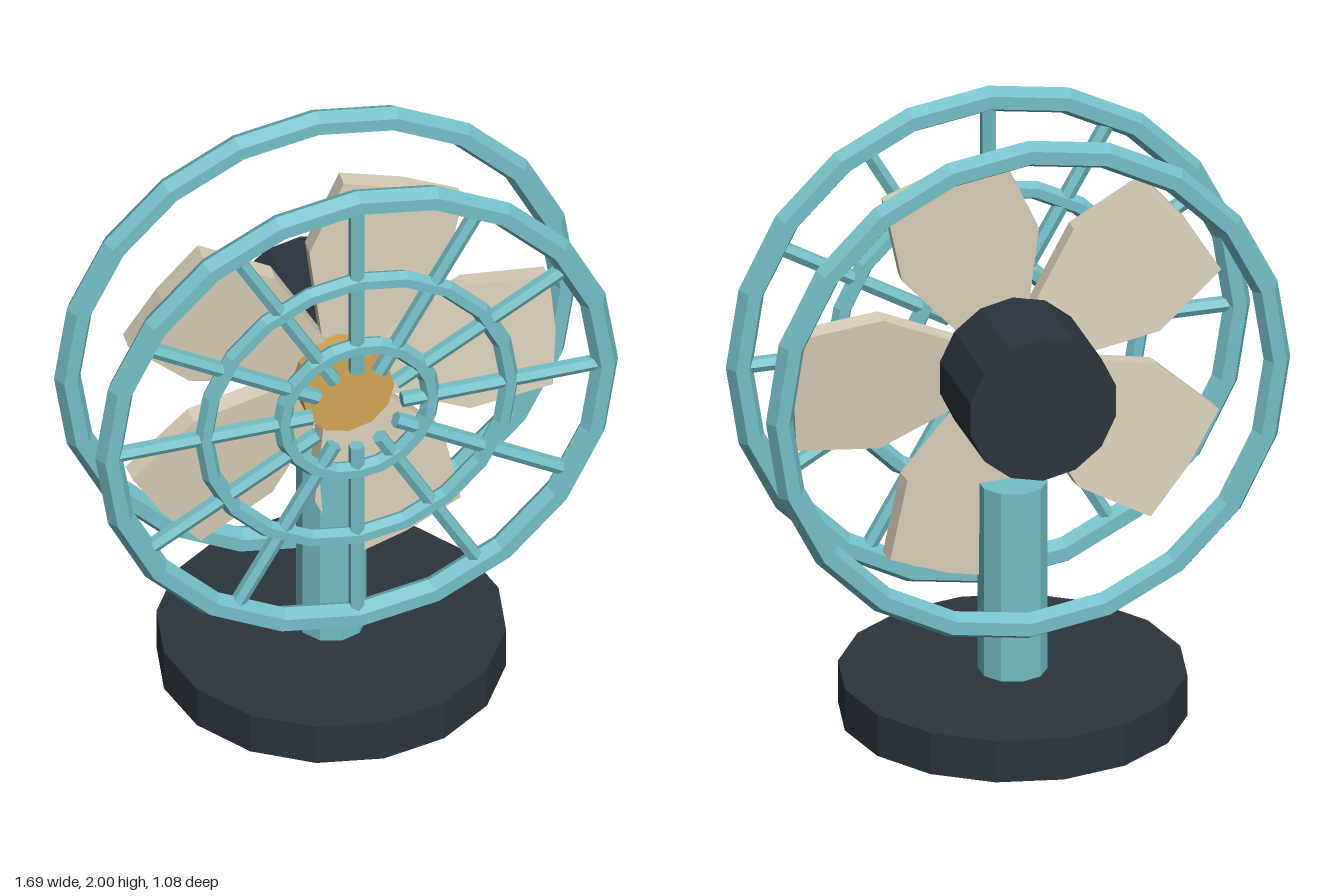
import * as THREE from 'three';

const paint = (color) => new THREE.MeshStandardMaterial({ color, flatShading: true });

export function createModel() {
  const model = new THREE.Group();
  model.name = 'deskFan';
  const teal = paint(0x73bfc6), dark = paint(0x2b343d);
  const cream = paint(0xd9ceb8), gold = paint(0xd2a654);

  const add = (parent, name, geometry, material, x = 0, y = 0, z = 0) => {
    const mesh = new THREE.Mesh(geometry, material);
    mesh.name = name;
    mesh.position.set(x, y, z);
    parent.add(mesh);
    return mesh;
  };

  // Stand
  add(model, 'base', new THREE.CylinderGeometry(0.54, 0.54, 0.14, 16), dark, 0, 0.07, 0);
  add(model, 'post', new THREE.CylinderGeometry(0.108, 0.108, 0.635, 10), teal, 0, 0.4575, 0);

  // Everything that sits around the fan axis
  const head = new THREE.Group();
  head.name = 'head';
  head.position.y = 1.156;
  model.add(head);

  const motor = new THREE.CylinderGeometry(0.24, 0.24, 0.32, 14).rotateX(Math.PI / 2);
  add(head, 'motor', motor, dark, 0, 0, -0.16);
  const hub = new THREE.CylinderGeometry(0.147, 0.147, 0.18, 12).rotateX(Math.PI / 2);
  add(head, 'hub', hub, gold, 0, 0, 0.09);

  // Five pitched blades
  const outline = [
    [0.1, -0.08], [0.42, -0.226], [0.687, -0.197], [0.702, 0],
    [0.687, 0.197], [0.42, 0.226], [0.1, 0.08],
  ].map(([x, y]) => new THREE.Vector2(x, y));
  const blade = new THREE.ExtrudeGeometry(new THREE.Shape(outline), { depth: 0.062, bevelEnabled: false });
  blade.translate(0, 0, -0.031).rotateX(-0.087).translate(0, 0, 0.04);
  for (let i = 0; i < 5; i++) {
    add(head, 'blade', blade, cream).rotation.z = (i * Math.PI * 2) / 5;
  }

  // Guard: rings front and back, spokes at the front only
  const frontZ = 0.259, backZ = -0.162;
  const ring = (name, radius, tube, z) =>
    add(head, name, new THREE.TorusGeometry(radius, tube, 6, 20), teal, 0, 0, z);
  ring('backRing', 0.801, 0.043, backZ);
  ring('frontOuterRing', 0.801, 0.043, frontZ);
  ring('frontMiddleRing', 0.493, 0.03, frontZ);
  ring('frontInnerRing', 0.24, 0.03, frontZ);

  const spoke = new THREE.CylinderGeometry(0.025, 0.025, 0.635, 6).translate(0, 0.4625, 0);
  for (let i = 0; i < 12; i++) {
    add(head, 'spoke', spoke, teal, 0, 0, frontZ).rotation.z = (i * Math.PI) / 6;
  }
  return model;
}
